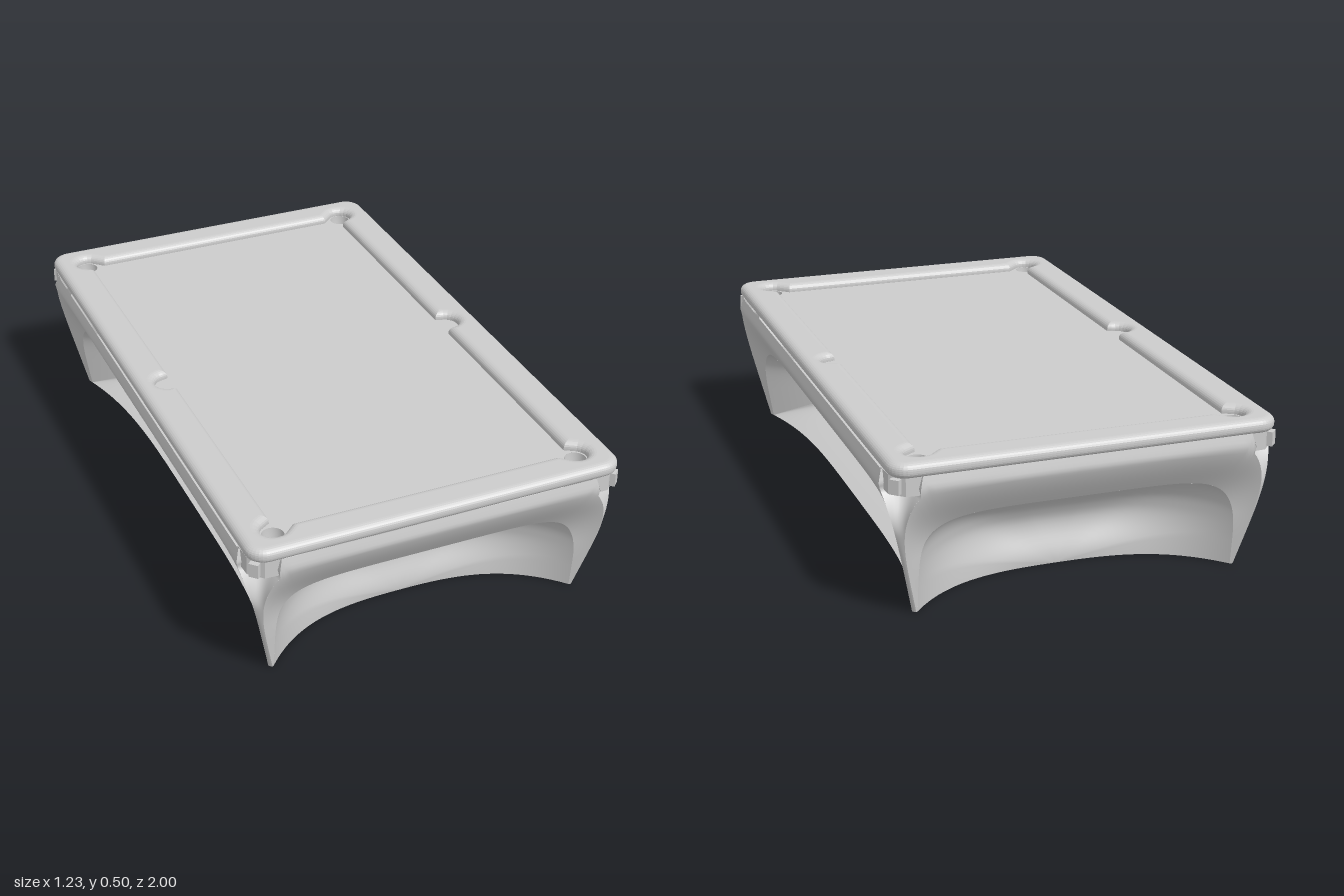
import * as THREE from 'three';

const TOP = 0.46; // underside of the rail
const mat = new THREE.MeshStandardMaterial({ color: 0xcccccc, side: THREE.DoubleSide });
const { lerp, smoothstep } = THREE.MathUtils;

// Splayed leg lines, and the corner chamfer that opens quickly near the top
const flare = (base, y) => base + 0.097 * Math.min(y, 0.42) / 0.42 - 0.25 * Math.max(0, y - 0.42);
const legX = y => flare(0.52, y);
const legZ = y => flare(0.902, y);
const chamfer = y => 0.01 + 0.085 * Math.min(1, y / 0.4) ** 5;

// Surface from a function of two parameters in 0..1
function grid(nu, nv, fn) {
  const pos = [], idx = [];
  for (let j = 0; j <= nv; j++)
    for (let i = 0; i <= nu; i++) pos.push(...fn(i / nu, j / nv));
  for (let j = 0; j < nv; j++)
    for (let i = 0; i < nu; i++) {
      const a = j * (nu + 1) + i, b = a + nu + 1;
      idx.push(a, a + 1, b, a + 1, b + 1, b);
    }
  const g = new THREE.BufferGeometry();
  g.setAttribute('position', new THREE.Float32BufferAttribute(pos, 3));
  g.setIndex(idx);
  g.computeVertexNormals();
  return g;
}

// Quarter outline [x, z] running from the x axis to the z axis, mirrored to a full loop
function mirror4(q) {
  const r = [...q].reverse();
  return [...q, ...r.map(([x, z]) => [-x, z]), ...q.map(([x, z]) => [-x, -z]), ...r.map(([x, z]) => [x, -z])]
    .map(p => new THREE.Vector2(...p));
}

// Superellipse point of unit size
function superPoint(t, n) {
  const f = v => Math.abs(v) < 1e-9 ? 0 : Math.sign(v) * Math.abs(v) ** (2 / n);
  return [f(Math.cos(t)), f(Math.sin(t))];
}

// One kind of wall: width along it, bulging face, and its arched mouth
const makeWall = (along, out, a, b, n) => {
  const width = y => along(y) - chamfer(y);
  const face = (s, y) => {
    const u = Math.min(1, Math.abs(s) / width(y));
    return out(y) - (1 - u ** (4 + 4 * smoothstep(y, 0.1, 0.4))) * 0.08 * smoothstep(0.44 - y, 0, 0.26);
  };
  return { width, face, a, b, n };
};
const endWall = makeWall(legX, legZ, 0.505, 0.31, 5);
const sideWall = makeWall(legZ, legX, 0.875, 0.305, 6);

// Apron and leg faces: from the arched mouth to the wall border
function apron(w, place) {
  return grid(128, 16, (i, j) => {
    const t = i * Math.PI;
    const [c, s] = superPoint(t, w.n);
    const m = Math.max(Math.abs(Math.cos(t)), Math.sin(t));
    const yb = TOP * Math.max(0, Math.sin(t)) / m, xb = Math.cos(t) / m * w.width(yb);
    const p = lerp(w.a * c, xb, j), y = lerp(w.b * s, yb, j);
    return place(p, y, w.face(p, y));
  });
}

// Hollow in each end wall: gentle towards the legs, sharp under the apron
function endDepth(r, y, t) {
  const power = 0.5 + 0.5 * Math.cos(t) ** 2;
  return 0.18 * Math.max(0, 1 - r ** 2.5) ** power * (0.6 + 0.4 * smoothstep(y, 0, 0.16));
}
function endHollow(place) {
  const w = endWall;
  return grid(96, 28, (i, j) => {
    const t = i * Math.PI, r = Math.sin(j * Math.PI / 2), [c, s] = superPoint(t, w.n);
    const x = r * w.a * c, y = r * w.b * s;
    return place(x, y, w.face(x, y) - endDepth(r, y, t));
  });
}

// Flared tunnel from a long side to the middle, rounder along its floor
function tunnel(place) {
  const w = sideWall;
  return grid(160, 24, (i, j) => {
    const [c, s] = superPoint(i * Math.PI * 2, i > 0.5 ? 3.2 : w.n);
    const zm = w.a * c, ym = Math.max(0, w.b * s);
    const e = 1 - (1 - j) ** 2;
    return place(lerp(zm, 0.6 * c, e), lerp(ym, 0.165 + 0.09 * s, e), w.face(zm, ym) * (1 - j));
  });
}

// Chamfered leg edge, dished below the corner block
function legEdge(sx, sz) {
  return grid(10, 46, (i, j) => {
    const y = j * TOP, c = chamfer(y), X = legX(y), Z = legZ(y);
    const dish = 0.03 * smoothstep(y, 0.27, 0.4) * Math.sin(Math.PI * i);
    const round = 0.35 * c * i * (1 - i) * (1 - smoothstep(y, 0.2, 0.3));
    return [sx * (X - c * (1 - i) + round - dish), y, sz * (Z - c * i + round - dish)];
  });
}

// Corner block above the dished leg, under the rail
function cornerBlock(sx, sz) {
  const plan = [[0.5, 0.983], [0.56, 0.98], [0.6, 0.94], [0.603, 0.88], [0.545, 0.93]];
  const shape = new THREE.Shape(plan.map(([x, z]) => new THREE.Vector2(sx * x, -sz * z)));
  return flat(new THREE.ExtrudeGeometry(shape, { depth: 0.06, bevelEnabled: false }), 0.4);
}

// Turn an outline in xy to lie in the xz plane
const flat = (geo, y) => geo.rotateX(-Math.PI / 2).translate(0, y, 0);

function roundedRect(x, z, r) {
  const q = [];
  for (let i = 0; i <= 8; i++) {
    const t = i / 8 * Math.PI / 2;
    q.push([x - r + r * Math.cos(t), z - r + r * Math.sin(t)]);
  }
  return mirror4(q);
}

// Play opening with corner and side pocket mouths
function openingOutline() {
  const q = [], rad = Math.PI / 180;
  for (let a = 8; a <= 90; a += 16) q.push([0.5 + 0.045 * Math.cos(a * rad), 0.045 * Math.sin(a * rad)]);
  q.push([0.487, 0.05], [0.487, 0.83]);
  for (let a = -50; a <= 140; a += 19) q.push([0.495 + 0.04 * Math.cos(a * rad), 0.882 + 0.04 * Math.sin(a * rad)]);
  q.push([0.435, 0.88]);
  return mirror4(q);
}

export function createModel() {
  const group = new THREE.Group();
  const add = (name, geo) => {
    const m = new THREE.Mesh(geo, mat);
    m.name = name;
    group.add(m);
    return m;
  };

  // Body walls
  for (const d of [1, -1]) {
    const atEnd = (s, y, o) => [s, y, d * o], atSide = (s, y, o) => [d * o, y, s];
    add('endApron', apron(endWall, atEnd));
    add('endHollow', endHollow(atEnd));
    add('sideApron', apron(sideWall, atSide));
    add('sideTunnel', tunnel(atSide));
  }

  // Underside of the base
  const q = [];
  for (let i = 0; i <= 24; i++) {
    const z = sideWall.width(0) * (i + 0.2) / 24.2;
    q.push([sideWall.face(z, 0), z]);
  }
  for (let i = 0; i <= 32; i++) {
    const x = endWall.width(0) * Math.cos((i / 32.5) * Math.PI / 2);
    q.push([x, endWall.face(x, 0) - endDepth(x / endWall.a, 0, 0)]);
  }
  add('baseUnderside', new THREE.ShapeGeometry(new THREE.Shape(mirror4(q))).rotateX(Math.PI / 2));

  // Rail with a rounded section
  const railShape = new THREE.Shape(roundedRect(0.605, 0.992, 0.06));
  railShape.holes.push(new THREE.Path(openingOutline()));
  add('rail', flat(new THREE.ExtrudeGeometry(railShape, {
    depth: 0.006, bevelThickness: 0.021, bevelSize: 0.026, bevelOffset: -0.026, bevelSegments: 6,
  }), 0.473));

  // Playing surface with corner pocket holes
  const bedShape = new THREE.Shape(roundedRect(0.56, 0.95, 0.05));
  const corners = [[1, 1], [-1, 1], [-1, -1], [1, -1]];
  for (const [sx, sz] of corners)
    bedShape.holes.push(new THREE.Path().absarc(sx * 0.497, sz * 0.885, 0.034, 0, Math.PI * 2));
  add('playingSurface', flat(new THREE.ShapeGeometry(bedShape, 24), 0.472));

  // Legs, blocks, brackets and pocket cups at each corner
  for (const [sx, sz] of corners) {
    add('legEdge', legEdge(sx, sz));
    add('cornerBlock', cornerBlock(sx, sz));
    const bracket = add('cornerBracket', new THREE.BoxGeometry(0.03, 0.045, 0.03));
    bracket.position.set(sx * 0.582, 0.43, sz * 0.962);
    bracket.rotation.y = Math.PI / 4;
    add('pocketCup', new THREE.LatheGeometry(
      [[0, 0.41], [0.022, 0.412], [0.031, 0.425], [0.034, 0.472]].map(p => new THREE.Vector2(...p)), 24))
      .position.set(sx * 0.497, 0, sz * 0.885);
  }
  return group;
}
